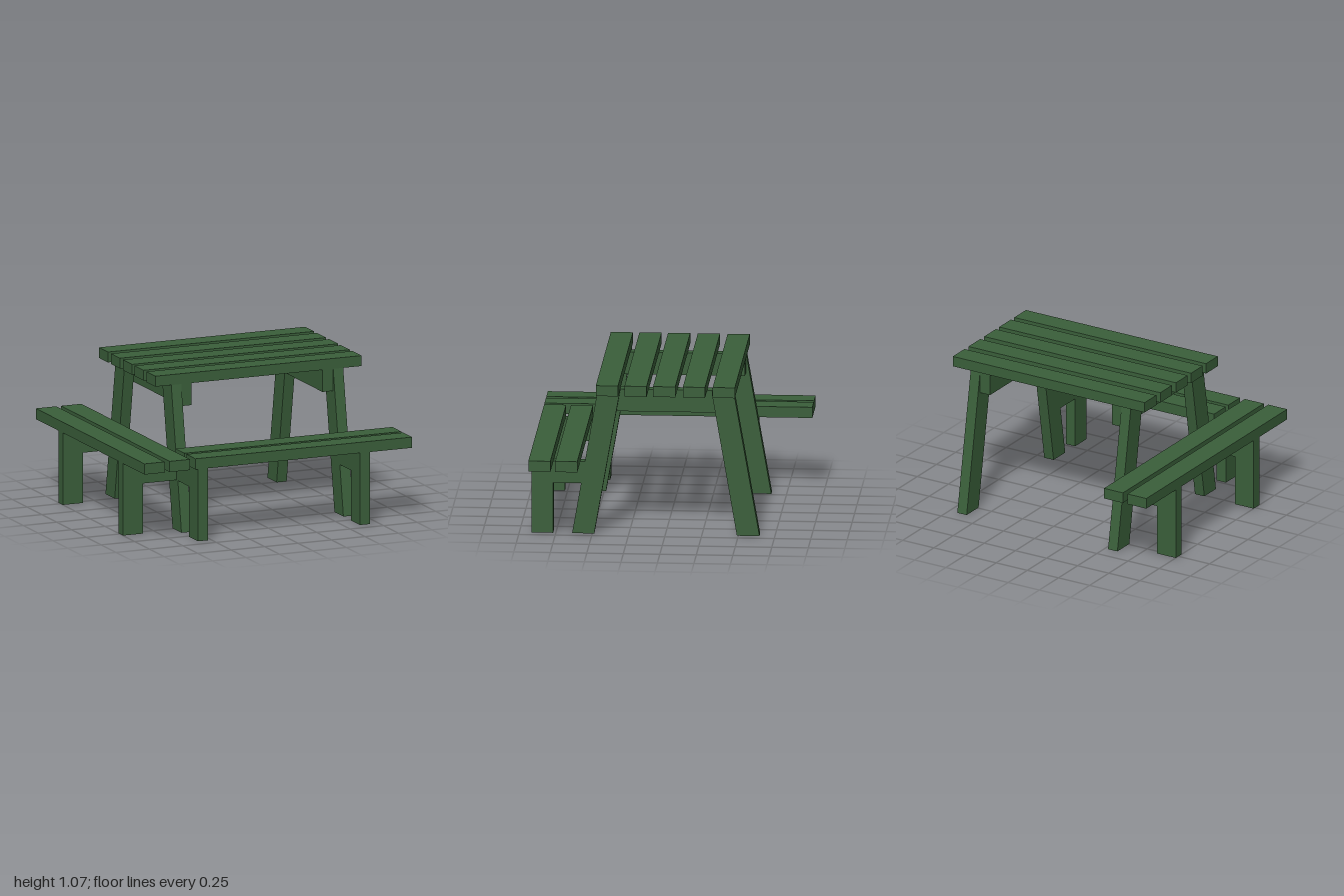
import * as THREE from 'three';

export function createModel() {
  const model = new THREE.Group();
  model.name = 'picnicTable';
  const material = new THREE.MeshStandardMaterial({ color: 0x3a5f3a, flatShading: true });

  const add = (name, geometry, parent) => {
    const mesh = new THREE.Mesh(geometry, material);
    mesh.name = name;
    parent.add(mesh);
    return mesh;
  };
  const group = (name) => {
    const g = new THREE.Group();
    g.name = name;
    model.add(g);
    return g;
  };
  // Box given by its limits on each axis
  const beam = (name, [x0, x1], [y0, y1], [z0, z1], parent) =>
    add(name, new THREE.BoxGeometry(x1 - x0, y1 - y0, z1 - z0), parent)
      .position.set((x0 + x1) / 2, (y0 + y1) / 2, (z0 + z1) / 2);
  // Flat timber outline, extruded along z
  const timber = (points, thickness) => new THREE.ExtrudeGeometry(
    new THREE.Shape(points.map(([a, b]) => new THREE.Vector2(a, b))),
    { depth: thickness, bevelEnabled: false });
  // Outline drawn in (z, y), with its thickness running from x0 to x1
  const sideTimber = (name, points, [x0, x1], parent) => {
    const geometry = timber(points.map(([z, y]) => [-z, y]), x1 - x0);
    geometry.rotateY(Math.PI / 2);
    geometry.translate(x0, 0, 0);
    add(name, geometry, parent);
  };

  const seatY = [0.505, 0.58];
  const legX = [[-0.6, -0.525], [0.61, 0.685]];

  // Table top slats
  const top = group('tableTop');
  [-0.485, -0.281, -0.077, 0.119, 0.315].forEach((z) =>
    beam('topSlat', [-0.72, 0.82], [1, 1.073], [z, z + 0.152], top));

  // Splayed legs and the cross beams joining them
  const frame = group('tableFrame');
  legX.forEach((x) => {
    sideTimber('frontLeg', [[0.487, 0], [0.638, 0], [0.465, 1], [0.312, 1]], x, frame);
    sideTimber('backLeg', [[-0.645, 0], [-0.49, 0], [-0.318, 1], [-0.47, 1]], x, frame);
  });
  [[-0.525, -0.45], [0.53, 0.61]].forEach((x) =>
    beam('crossBeam', x, [0.845, 1], [-0.47, 0.465], frame));

  // Front bench: slats on supports that run out from the front legs
  const frontBench = group('frontBench');
  [0.582, 0.766].forEach((z) =>
    beam('frontSeatSlat', [-0.62, 1], seatY, [z, z + 0.151], frontBench));
  legX.forEach((x) => sideTimber('frontBenchSupport', [
    [0.917, 0], [0.917, 0.505], [0.55, 0.505], [0.577, 0.352], [0.768, 0.352], [0.768, 0],
  ], x, frontBench));

  // Side bench: slats on supports that run out from the legs on the -x end
  const sideBench = group('sideBench');
  [-1, -0.812].forEach((x) =>
    beam('sideSeatSlat', [x, x + 0.152], seatY, [-0.917, 0.917], sideBench));
  [-0.533, 0.48].forEach((z) => {
    add('sideBenchSupport', timber([
      [-1, 0], [-0.85, 0], [-0.85, 0.352], [-0.6, 0.352], [-0.6, 0.505], [-1, 0.505],
    ], 0.073), sideBench).position.z = z;
  });

  return model;
}
